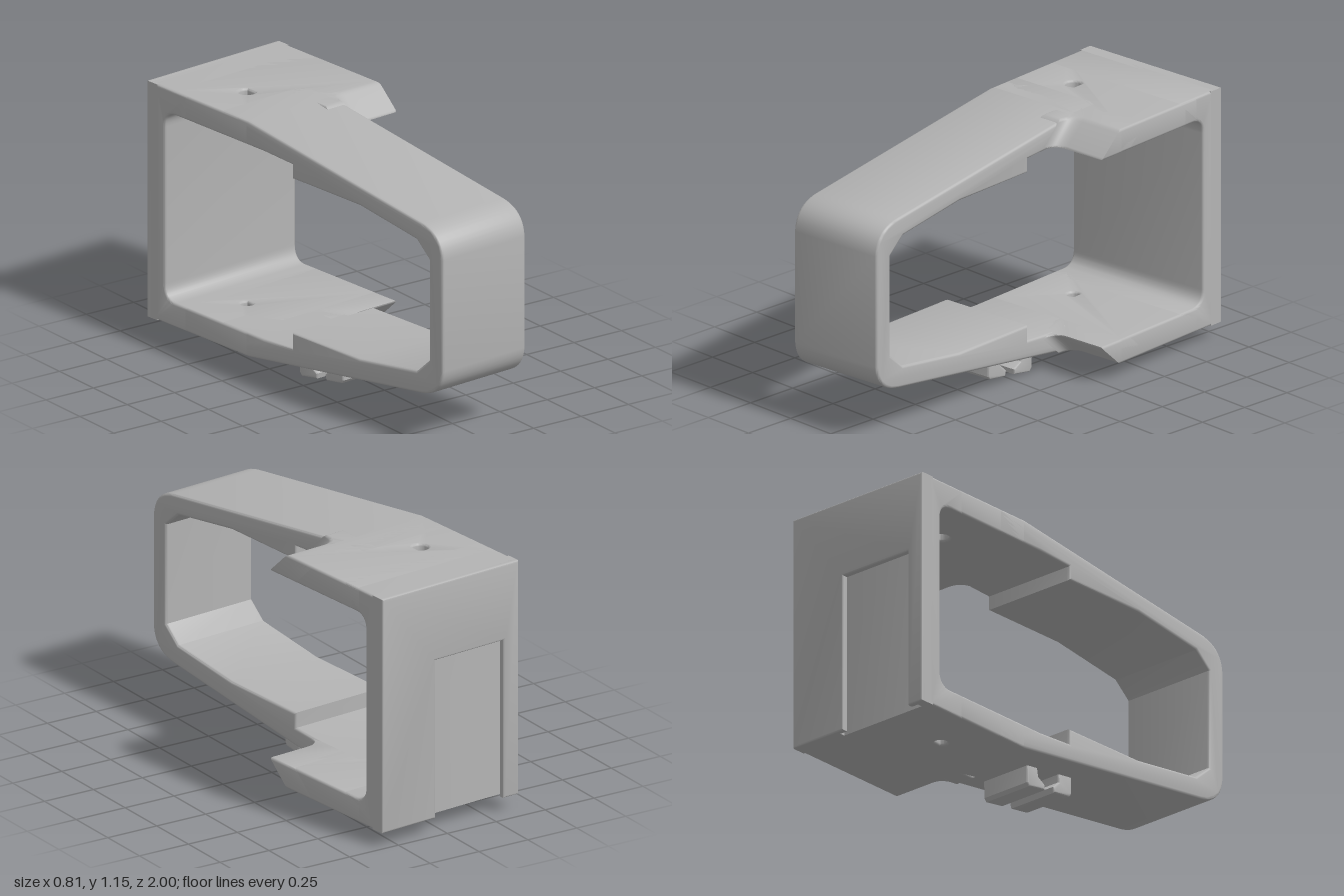
import * as THREE from 'three';
import { toCreasedNormals } from 'three/addons/utils/BufferGeometryUtils.js';

const B = 0.012;                      // rounded edge size
const LEFT = 0.422, NECK = 0.15, RIGHT = -0.322;   // x limits of the body
const TOP = 1.15, BOTTOM = 0.07, WALL = 0.11;

function extrude(shape, width, bevel = B) {
  return new THREE.ExtrudeGeometry(shape, {
    depth: width - 2 * bevel, bevelEnabled: bevel > 0, bevelSize: bevel,
    bevelThickness: bevel, bevelOffset: -bevel, bevelSegments: 3, curveSegments: 10,
  }).translate(0, 0, bevel);
}
// side profile (z, y) extruded along x
const alongX = (shape, x0, x1, bevel) =>
  extrude(shape, x1 - x0, bevel).rotateY(-Math.PI / 2).translate(x1, 0, 0);
// plan outline (x, z) extruded along y
const alongY = (shape, y0, y1, bevel) =>
  extrude(shape, y1 - y0, bevel).rotateX(Math.PI / 2).translate(0, y1, 0);

const polygon = (pts) => new THREE.Shape(pts.map(([a, b]) => new THREE.Vector2(a, b)));

// teardrop hole pointing to +x
function teardrop(x, z, r) {
  const p = new THREE.Path();
  p.moveTo(x + r * 1.45, z);
  p.absarc(x, z, r, Math.PI / 4, Math.PI * 1.75, false);
  p.closePath();
  return p;
}

// front hoop, open towards the back
function hoopProfile() {
  const s = new THREE.Shape();
  s.moveTo(-0.47, TOP);
  s.lineTo(-0.30, TOP);
  s.lineTo(0.83, 1.007);
  s.quadraticCurveTo(0.965, 0.99, 0.974, 0.87);
  s.lineTo(0.974, 0.36);
  s.quadraticCurveTo(0.965, 0.245, 0.83, 0.224);
  s.lineTo(-0.30, BOTTOM);
  s.lineTo(-0.47, BOTTOM);
  [[-0.47, 0.18], [-0.2, 0.18], [-0.015, 0.192], [-0.015, 0.262], [0.43, 0.268],
    [0.80, 0.318], [0.883, 0.39], [0.883, 0.85], [0.80, 0.92], [0.43, 0.97],
    [-0.015, 0.968], [-0.015, 1.032], [-0.2, 1.04], [-0.47, 1.04]].forEach(([z, y]) => s.lineTo(z, y));
  s.closePath();
  return s;
}

// back wall with filleted inner corners, open towards the front
function backProfile() {
  const r = 0.07, zi = -0.845, lo = BOTTOM + WALL, hi = TOP - WALL;
  const s = new THREE.Shape();
  s.moveTo(-0.915, BOTTOM);
  s.lineTo(-0.70, BOTTOM);
  s.lineTo(-0.70, lo);
  s.lineTo(zi + r, lo);
  s.quadraticCurveTo(zi, lo, zi, lo + r);
  s.lineTo(zi, hi - r);
  s.quadraticCurveTo(zi, hi, zi + r, hi);
  s.lineTo(-0.70, hi);
  s.lineTo(-0.70, TOP);
  s.lineTo(-0.915, TOP);
  s.closePath();
  return s;
}

// layer of the back face with a slot that opens at the bottom
const slotLayer = (x0, x1, top) => polygon([
  [RIGHT, BOTTOM], [x0, BOTTOM], [x0, top], [x1, top], [x1, BOTTOM],
  [LEFT, BOTTOM], [LEFT, TOP], [RIGHT, TOP]]);

// flat wall with a screw hole
function plateOutline(r) {
  const s = polygon([[RIGHT, -0.80], [LEFT, -0.80], [LEFT, -0.31], [RIGHT, -0.31]]);
  s.holes.push(teardrop(-0.086, -0.58, r));
  return s;
}

// side wing with a fillet to the neck; its front end is sloped by a shear
function wing(y0, y1, sign) {
  const s = new THREE.Shape();
  s.moveTo(0.05, -0.36);
  s.lineTo(LEFT, -0.36);
  s.lineTo(LEFT, -0.18);
  s.lineTo(0.22, -0.18);
  s.quadraticCurveTo(NECK, -0.18, NECK, -0.10);
  s.lineTo(0.05, -0.10);
  s.closePath();
  const g = alongY(s, y0, y1);
  const p = g.attributes.position;
  for (let i = 0; i < p.count; i++) {
    const rise = sign > 0 ? p.getY(i) - y0 : y1 - p.getY(i);
    p.setZ(i, p.getZ(i) - rise * 1.1);
  }
  g.computeVertexNormals();
  return g;
}

export function createModel() {
  const model = new THREE.Group();
  model.name = 'bracket';
  const grey = new THREE.MeshStandardMaterial({ color: 0xb4b4b4 });
  grey.name = 'light grey';

  const add = (name, geometry) => {
    const mesh = new THREE.Mesh(toCreasedNormals(geometry, 0.6), grey);
    mesh.name = name;
    model.add(mesh);
  };

  // hoop and back wall
  add('frontHoop', alongX(hoopProfile(), RIGHT, NECK));
  add('backWall', alongX(backProfile(), RIGHT, LEFT));

  // slot in the back: narrow lip over a wider groove
  add('slotGroove', extrude(slotLayer(-0.275, 0.17, 0.815), 0.05, 0).translate(0, 0, -0.945));
  add('slotLip', extrude(slotLayer(-0.24, 0.133, 0.80), 0.032, 0.008).translate(0, 0, -0.965));

  // top and bottom walls with wings
  add('topPlate', alongY(plateOutline(0.035), TOP - WALL, TOP));
  add('bottomPlate', alongY(plateOutline(0.026), BOTTOM, BOTTOM + WALL));
  add('topWing', wing(TOP - WALL, TOP, 1));
  add('bottomWing', wing(BOTTOM, BOTTOM + WALL, -1));

  // pair of hooks under the bottom
  add('frontHook', alongX(polygon([[0.155, 0.15], [0.157, 0.055], [0.145, 0.04], [0.045, 0.025],
    [0.038, 0.05], [0.075, 0.085], [0.07, 0.14]]), -0.18, 0.073, 0.008));
  add('rearHook', alongX(polygon([[-0.13, 0.12], [-0.128, 0.015], [-0.115, 0], [-0.015, 0.016],
    [-0.012, 0.04], [-0.055, 0.065], [-0.065, 0.12]]), -0.18, 0.073, 0.008));

  model.rotation.y = 0.093;
  return model;
}
